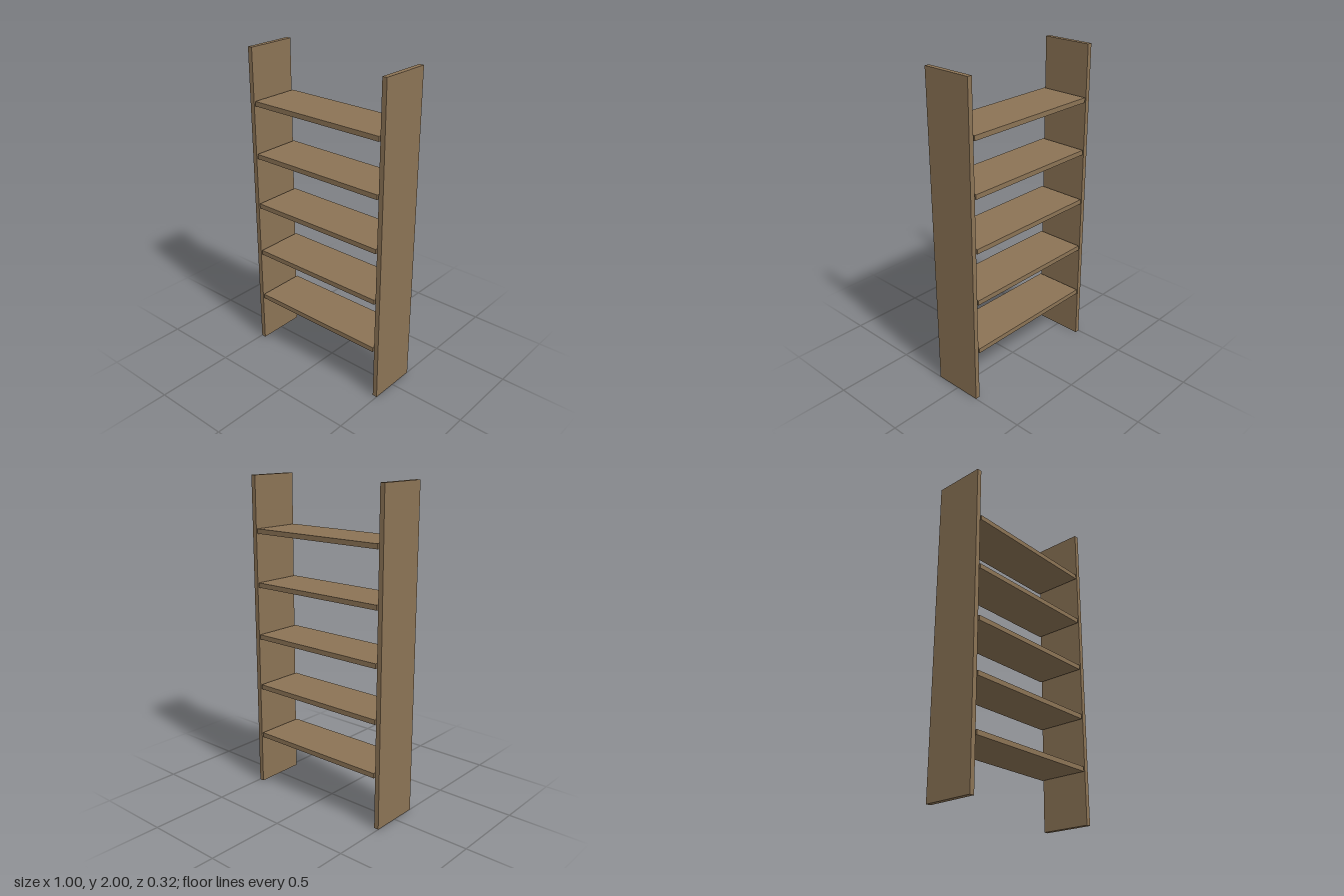
import * as THREE from 'three';

const HEIGHT = 2, WIDTH = 1, DEPTH = 0.32, BOARD = 0.03;
const SHELF_WIDTH = 0.92, SHELF_COUNT = 5;

export function createModel() {
  const model = new THREE.Group();
  model.name = 'shelfUnit';
  const wood = new THREE.MeshStandardMaterial({ color: 0x8b7355 });

  const addBoard = (name, width, height, x, y) => {
    const board = new THREE.Mesh(new THREE.BoxGeometry(width, height, DEPTH), wood);
    board.name = name;
    board.position.set(x, y, 0);
    model.add(board);
  };

  // Upright side panels
  for (const side of [-1, 1]) {
    addBoard(side > 0 ? 'leftPanel' : 'rightPanel', BOARD, HEIGHT,
      side * (WIDTH - BOARD) / 2, HEIGHT / 2);
  }

  // Evenly spaced shelves, with a narrow gap to each panel
  for (let i = 1; i <= SHELF_COUNT; i++) {
    addBoard(`shelf${i}`, SHELF_WIDTH, BOARD, 0, HEIGHT * i / (SHELF_COUNT + 1));
  }

  return model;
}
